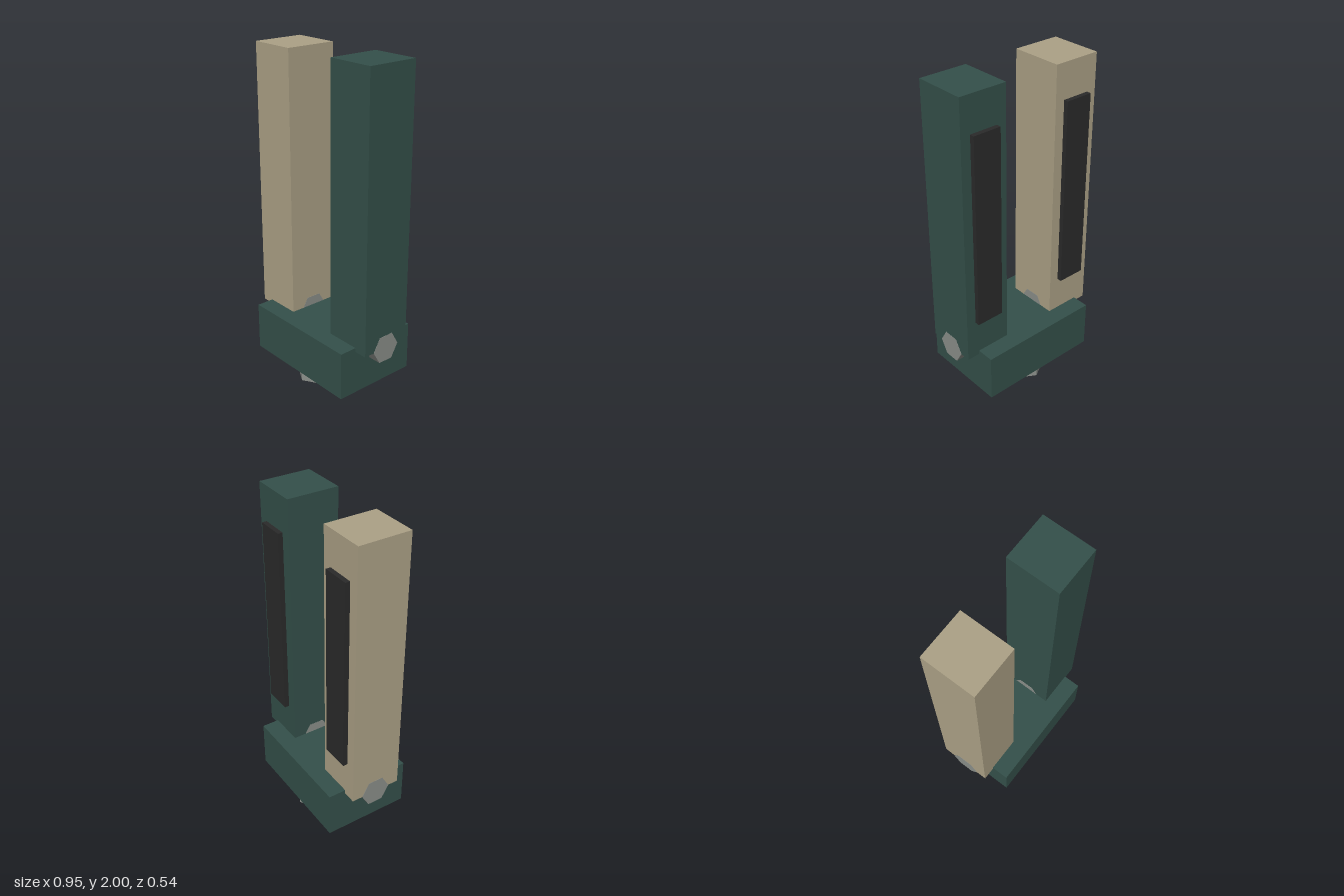
import * as THREE from 'three';

const paint = (name, color) => {
  const m = new THREE.MeshStandardMaterial({ color });
  m.name = name;
  return m;
};

export function createModel() {
  const model = new THREE.Group();
  const green = paint('dark green', 0x34504a);
  const tan = paint('tan', 0xaca186);
  const black = paint('black', 0x2a2a2a);
  const steel = paint('steel', 0x8a8e89);
  steel.flatShading = true;
  steel.side = THREE.DoubleSide;

  const add = (name, geometry, material, x, y, z) => {
    const mesh = new THREE.Mesh(geometry, material);
    mesh.name = name;
    mesh.position.set(x, y, z);
    model.add(mesh);
    return mesh;
  };

  // Base block standing on an open hexagonal collar
  add('base', new THREE.BoxGeometry(0.786, 0.297, 0.54), green, 0, 0.2265, 0);
  add('collar', new THREE.CylinderGeometry(0.242, 0.242, 0.078, 6, 1, true), steel, 0, 0.039, 0);

  // Two posts, each with a hexagonal pivot pin and a back pad
  for (const [side, sign, material] of [['left', 1, green], ['right', -1, tan]]) {
    const x = sign * 0.325;
    add(side + 'Post', new THREE.BoxGeometry(0.298, 1.65, 0.322), material, x, 1.175, 0);
    add(side + 'Pad', new THREE.BoxGeometry(0.175, 1.19, 0.03), black, x, 1.19, -0.175);
    const pin = add(side + 'PivotPin', new THREE.CylinderGeometry(0.095, 0.095, 0.3, 6), steel, x, 0.35, 0);
    pin.rotation.z = Math.PI / 2;
  }
  return model;
}
